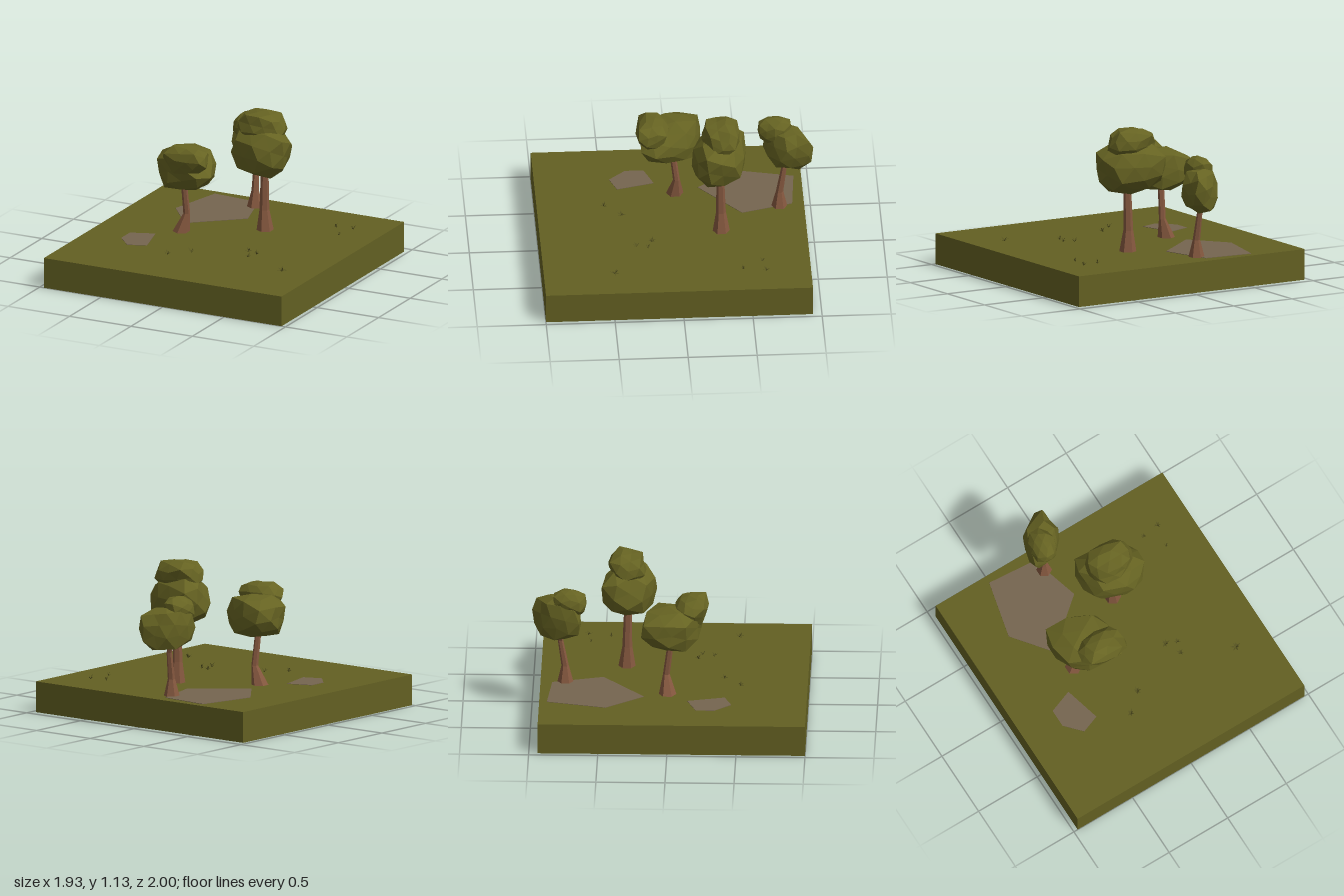
import * as THREE from 'three';
import { mergeVertices } from 'three/addons/utils/BufferGeometryUtils.js';

const GROUND = 0.226;

function material(name, color) {
  const m = new THREE.MeshStandardMaterial({ color });
  m.name = name;
  return m;
}

function mesh(name, geometry, mat, parent) {
  const m = new THREE.Mesh(geometry, mat);
  m.name = name;
  parent.add(m);
  return m;
}

function seeded(seed) {
  let s = seed;
  return () => (s = (s * 16807) % 2147483647) / 2147483647;
}

function faceted(geo) {
  const flat = geo.toNonIndexed();
  flat.computeVertexNormals();
  return flat;
}

// Six-sided trunk through rings of [x, y, z, radius], bottom to top
function trunkGeometry(rings) {
  const rows = rings.length - 1;
  const geo = new THREE.CylinderGeometry(1, 1, rows, 6, rows);
  const p = geo.attributes.position;
  for (let i = 0; i < p.count; i++) {
    const [x, y, z, r] = rings[Math.round(p.getY(i) + rows / 2)];
    p.setXYZ(i, x + p.getX(i) * r, y, z + p.getZ(i) * r);
  }
  return faceted(geo);
}

// Leaf clump: a boxy, uneven ball, skewed in plan and fitted between two corners
function clumpGeometry(min, max, skew, seed) {
  const random = seeded(seed);
  const ball = new THREE.IcosahedronGeometry(1, 1).rotateX(seed).rotateY(seed * 2);
  ball.deleteAttribute('normal');
  ball.deleteAttribute('uv');
  const geo = mergeVertices(ball, 0.001);
  const p = geo.attributes.position;
  for (let i = 0; i < p.count; i++) {
    const [x, y, z] = [p.getX(i), p.getY(i), p.getZ(i)];
    const boxy = Math.cbrt(Math.abs(x) ** 3 + Math.abs(y) ** 3 + Math.abs(z) ** 3);
    const r = (0.82 + 0.2 * random()) / boxy;
    p.setXYZ(i, x * r, y * r, (z + skew * x) * r);
  }
  geo.computeBoundingBox();
  const { min: lo, max: hi } = geo.boundingBox;
  const fit = (v, k, axis) => min[k] + ((v - lo[axis]) / (hi[axis] - lo[axis])) * (max[k] - min[k]);
  for (let i = 0; i < p.count; i++) {
    p.setXYZ(i, fit(p.getX(i), 0, 'x'), fit(p.getY(i), 1, 'y'), fit(p.getZ(i), 2, 'z'));
  }
  return faceted(geo);
}

// Thin flat patch from an outline of [x, z]
function patchGeometry(outline) {
  const shape = new THREE.Shape(outline.map(([x, z]) => new THREE.Vector2(x, -z)));
  return new THREE.ExtrudeGeometry(shape, { depth: 0.003, bevelEnabled: false }).rotateX(-Math.PI / 2);
}

// Star of pointed blades leaning outward
function tuftGeometry(radius, blades, turn) {
  const v = [];
  for (let i = 0; i < blades; i++) {
    const a = turn + (i / blades) * Math.PI * 2;
    const r = radius * (0.8 + 0.2 * Math.cos(i * 2.3));
    const h = 0.022 + 0.012 * Math.sin(i * 1.9);
    const c = Math.cos(a), s = Math.sin(a), w = radius * 0.17;
    const left = [c * r * 0.45 - s * w, h * 0.7, s * r * 0.45 + c * w];
    const right = [c * r * 0.45 + s * w, h * 0.7, s * r * 0.45 - c * w];
    const tip = [c * r, h, s * r];
    v.push(0, 0, 0, ...left, ...right, ...left, ...tip, ...right);
  }
  const geo = new THREE.BufferGeometry();
  geo.setAttribute('position', new THREE.Float32BufferAttribute(v, 3));
  geo.computeVertexNormals();
  return geo;
}

// Each clump: low corner, high corner, skew, seed
const TREES = [
  {
    name: 'frontTree',
    trunk: [[-0.37, GROUND, -0.01, 0.063], [-0.33, 0.365, -0.02, 0.025], [-0.338, 0.64, 0.015, 0.022]],
    lower: [[-0.54, 0.585, -0.2], [-0.05, 0.885, 0.25], 0.25, 3],
    upper: [[-0.42, 0.74, 0.04], [-0.06, 0.95, 0.285], 0.1, 8],
  },
  {
    name: 'backTree',
    trunk: [[-0.155, GROUND, -0.755, 0.058], [-0.153, 0.35, -0.757, 0.027],
      [-0.16, 0.55, -0.79, 0.02], [-0.185, 0.63, -0.8, 0.021]],
    lower: [[-0.3, 0.572, -0.998], [-0.005, 0.885, -0.64], -0.4, 5],
    upper: [[-0.29, 0.76, -0.84], [-0.09, 0.96, -0.6], 0, 11],
  },
  {
    name: 'tallTree',
    trunk: [[0.155, GROUND, -0.317, 0.062], [0.15, 0.38, -0.315, 0.036], [0.155, 0.7, -0.31, 0.027]],
    lower: [[-0.11, 0.645, -0.5], [0.365, 1.025, -0.1], 0.24, 14],
    upper: [[-0.05, 0.91, -0.45], [0.315, 1.135, -0.175], 0, 17],
  },
];

// Bare earth outlines
const PATCHES = [
  [[-0.545, -0.88], [-0.175, -0.85], [-0.07, -0.48], [-0.43, -0.18], [-0.645, -0.455]],
  [[-0.505, 0.135], [-0.435, 0.405], [-0.57, 0.455], [-0.68, 0.335], [-0.68, 0.2]],
];

// Tufts as [x, z, radius]
const TUFTS = [
  [0.285, 0.195, 0.036], [0.365, 0.225, 0.028], [0.34, 0.31, 0.03], [-0.08, 0.395, 0.034], [-0.21, 0.515, 0.032],
  [0.705, 0.485, 0.042], [0.59, -0.59, 0.024], [0.72, -0.61, 0.03], [0.69, -0.445, 0.02],
];

export function createModel() {
  const grass = material('grass green', 0x636022);
  const leaves = material('leaf green', 0x666322);
  const bark = material('bark brown', 0x85583f);
  const earth = material('bare earth', 0x75654f);
  const blade = material('tuft green', 0x555220);
  blade.side = THREE.DoubleSide;

  const model = new THREE.Group();
  model.name = 'forestTile';

  // Ground slab
  const slab = mesh('ground', new THREE.BoxGeometry(1.935, GROUND, 1.935), grass, model);
  slab.position.set(0, GROUND / 2, 0.032);

  PATCHES.forEach((outline, i) => {
    mesh(`earthPatch${i + 1}`, patchGeometry(outline), earth, model).position.y = GROUND;
  });

  // Trees: a bent trunk and two leaf clumps each
  for (const t of TREES) {
    const tree = new THREE.Group();
    tree.name = t.name;
    mesh('trunk', trunkGeometry(t.trunk), bark, tree);
    mesh('lowerLeaves', clumpGeometry(...t.lower), leaves, tree);
    mesh('upperLeaves', clumpGeometry(...t.upper), leaves, tree);
    model.add(tree);
  }

  // Grass tufts
  TUFTS.forEach(([x, z, r], i) => {
    mesh(`grassTuft${i + 1}`, tuftGeometry(r, 7, i * 0.7), blade, model).position.set(x, GROUND, z);
  });

  return model;
}
